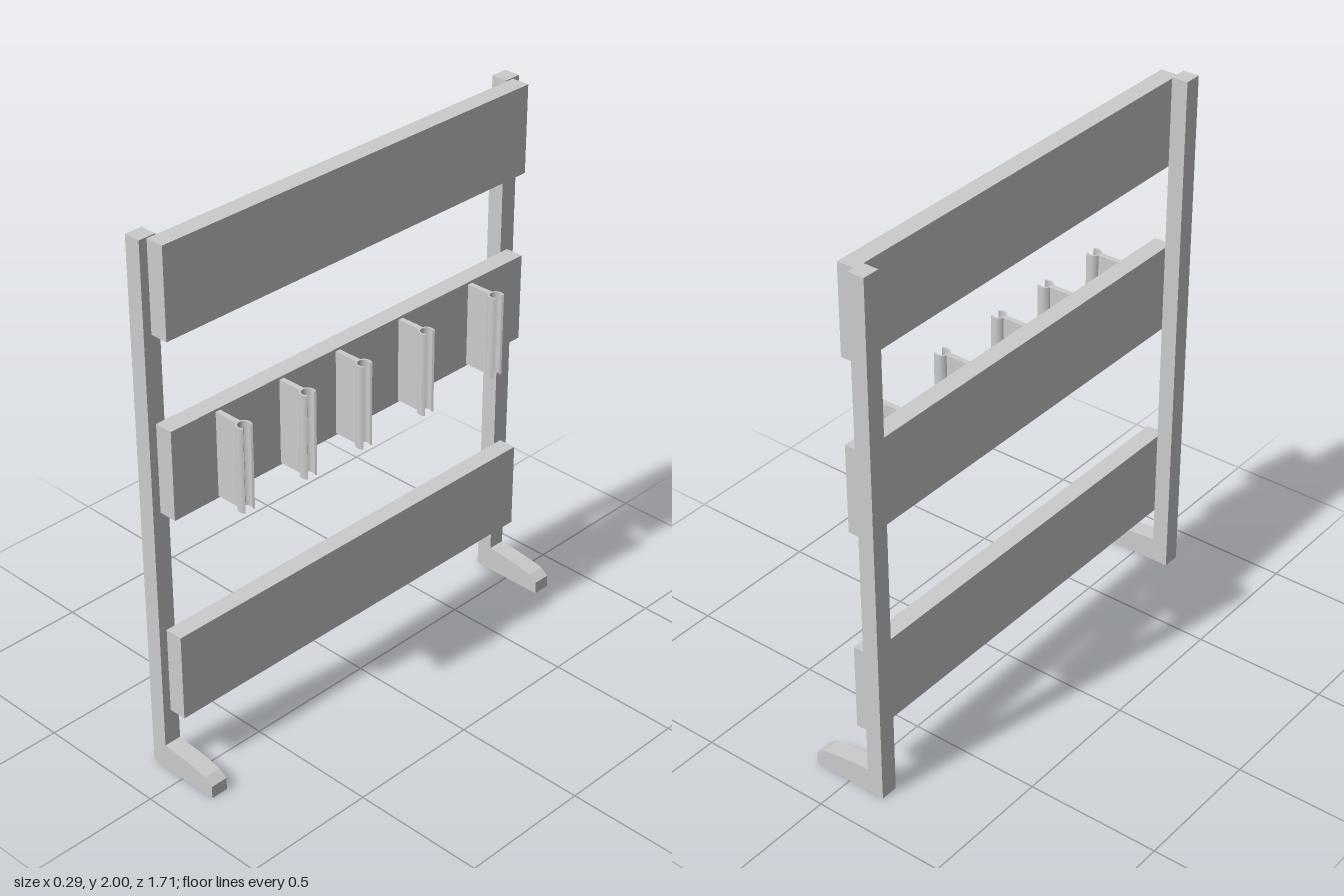
import * as THREE from 'three';

const material = new THREE.MeshStandardMaterial({ color: 0xcccccc, flatShading: true });
const smooth = new THREE.MeshStandardMaterial({ color: 0xcccccc });

function add(parent, name, geometry, x, y, z, mat = material) {
  const mesh = new THREE.Mesh(geometry, mat);
  mesh.name = name;
  mesh.position.set(x, y, z);
  parent.add(mesh);
  return mesh;
}

export function createModel() {
  const model = new THREE.Group();
  model.name = 'rack';

  // Upright post with its sloping foot, as one L-shaped profile
  const profile = new THREE.Shape([
    [-0.145, 0], [0.145, 0], [0.145, 0.048], [0.113, 0.07], [0.1, 0.074], [0.01, 0.087],
    [-0.083, 0.095], [-0.083, 2], [-0.145, 2],
  ].map(([x, y]) => new THREE.Vector2(x, y)));
  const postGeometry = new THREE.ExtrudeGeometry(profile, { depth: 0.066, bevelEnabled: false });
  add(model, 'leftPostAndFoot', postGeometry, 0, 0, 0.787);
  add(model, 'rightPostAndFoot', postGeometry, 0, 0, -0.853);

  // Three wide boards across the posts
  const boards = { lowerBoard: [0.23, 0.56], middleBoard: [1.02, 1.35], upperBoard: [1.668, 1.996] };
  for (const [name, [y0, y1]] of Object.entries(boards)) {
    add(model, name, new THREE.BoxGeometry(0.068, y1 - y0, 1.644), -0.049, (y0 + y1) / 2, 0);
  }

  // Open C-shaped gripper, extruded upwards
  const outer = 0.028, inner = 0.021, gap = 0.83;
  const ring = new THREE.Shape();
  ring.absarc(0, 0, outer, gap, 2 * Math.PI - gap, false);
  ring.absarc(0, 0, inner, 2 * Math.PI - gap, gap, true);
  const height = 0.314;
  const gripGeometry = new THREE.ExtrudeGeometry(ring, { depth: height, bevelEnabled: false, curveSegments: 20 });
  gripGeometry.rotateX(-Math.PI / 2);
  const stemGeometry = new THREE.BoxGeometry(0.094, height, 0.02);

  // Clips along the middle board
  [-0.554, -0.208, 0.09, 0.346, 0.624].forEach((z, i) => {
    const clip = new THREE.Group();
    clip.name = `clip${i + 1}`;
    clip.position.set(0, 1.027, z);
    add(clip, 'clipStem', stemGeometry, 0.031, height / 2, 0);
    add(clip, 'clipGrip', gripGeometry, 0.103, 0, 0, smooth);
    model.add(clip);
  });

  return model;
}
